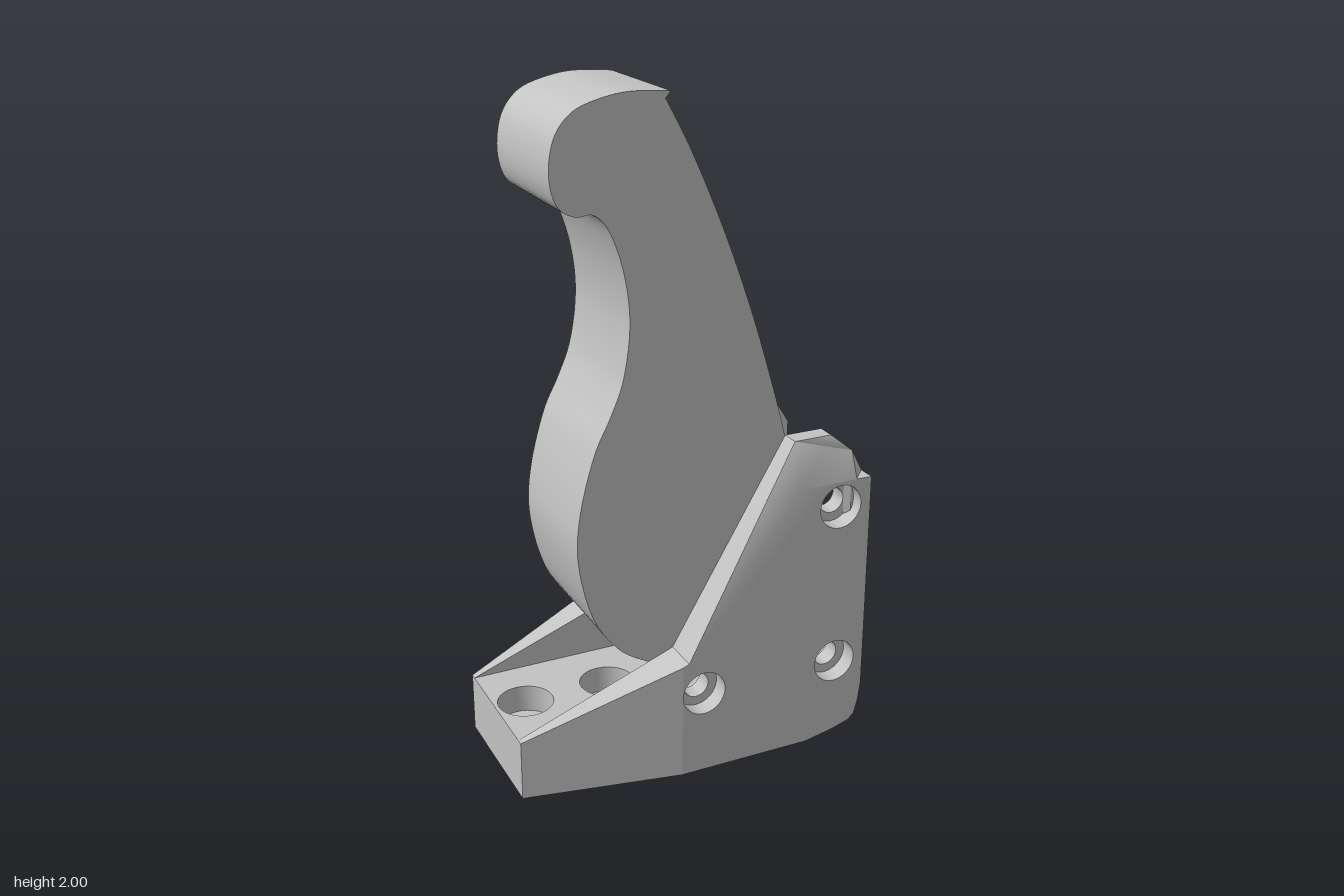
import * as THREE from 'three';
import { toCreasedNormals } from 'three/addons/utils/BufferGeometryUtils.js';
import { ConvexGeometry } from 'three/addons/geometries/ConvexGeometry.js';

const INNER = 0.19, MID = 0.246, OUTER = 0.301, FLOOR = 0.185, SPLIT = -0.07;
const V = (list) => list.map(([x, y]) => new THREE.Vector2(x, y));

// round or hexagonal hole path
function hole(x, y, r, sides = 32) {
  const pts = [];
  for (let i = 0; i < sides; i++) {
    const a = (i / sides) * Math.PI * 2;
    pts.push(new THREE.Vector2(x + r * Math.cos(a), y + r * Math.sin(a)));
  }
  return new THREE.Path(pts);
}

function extrude(points, holes, z0, z1) {
  const shape = new THREE.Shape(points);
  shape.holes.push(...holes);
  const g = new THREE.ExtrudeGeometry(shape, { depth: z1 - z0, bevelEnabled: false });
  return g.translate(0, 0, z0);
}

// mirror across z = 0, keeping faces outward
function mirrorZ(g) {
  const p = g.attributes.position;
  const a = new THREE.Vector3(), b = new THREE.Vector3();
  for (let i = 0; i < p.count; i += 3) {
    a.fromBufferAttribute(p, i + 1);
    b.fromBufferAttribute(p, i + 2);
    p.setXYZ(i + 1, b.x, b.y, b.z);
    p.setXYZ(i + 2, a.x, a.y, a.z);
  }
  return g.scale(1, 1, -1);
}

export function createModel() {
  const group = new THREE.Group();
  const grey = new THREE.MeshStandardMaterial({ color: 0xc3c3c3 });
  grey.name = 'light grey';
  const add = (name, geometry) => {
    const mesh = new THREE.Mesh(toCreasedNormals(geometry, 0.65), grey);
    mesh.name = name;
    group.add(mesh);
  };

  // lever: curved front, sweeping back
  const front = new THREE.SplineCurve(V([
    [-0.13, 0.34], [-0.22, 0.40], [-0.30, 0.52], [-0.343, 0.70], [-0.335, 0.85], [-0.29, 1.02],
    [-0.24, 1.125], [-0.2, 1.23], [-0.18, 1.38], [-0.195, 1.52], [-0.235, 1.64], [-0.28, 1.69],
    [-0.33, 1.69], [-0.375, 1.715], [-0.398, 1.77], [-0.4, 1.84], [-0.38, 1.91], [-0.33, 1.963],
    [-0.25, 1.99], [-0.17, 2.0], [-0.06, 1.993]])).getPoints(90);
  const back = new THREE.SplineCurve(V([
    [-0.075, 1.975], [0, 1.835], [0.1, 1.61], [0.19, 1.37], [0.26, 1.15], [0.31, 0.97],
    [0.36, 0.72], [0.397, 0.5], [0.415, 0.34]])).getPoints(40);
  const lever = [...front, ...back, ...V([[0.4, 0.325], [-0.11, 0.325]])].reverse();
  add('lever', extrude(lever, [], -INNER, INNER));

  // floor between the walls, rounded at the rear lower edge
  const heel = [[0.35, 0], [0.44, 0.018], [0.5, 0.036], [0.52, 0.055], [0.532, 0.1], [0.54, 0.16]];
  add('rearFloor', extrude(
    V([[SPLIT, 0], ...heel, [0.54, FLOOR], [SPLIT, FLOOR]]), [], -INNER, INNER));

  // front floor in two layers: bolt hole below, counterbore and blind pocket above
  const plate = V([[-0.54, -INNER], [SPLIT, -INNER], [SPLIT, INNER], [-0.54, INNER]]);
  add('frontFloorLower',
    extrude(plate, [hole(-0.445, 0, 0.052)], 0, 0.1).rotateX(-Math.PI / 2));
  add('frontFloorUpper',
    extrude(plate, [hole(-0.445, 0, 0.084), hole(-0.18, 0, 0.084)], 0.1, FLOOR).rotateX(-Math.PI / 2));

  // side walls: inner layer with bolt holes, chamfered outer layer with recesses
  const wall = V([[SPLIT, 0], ...heel, [0.54, 0.85], [0.49, 0.93], [0.43, 0.98],
    [0.31, 0.98], [-0.05, 0.37], [SPLIT, 0.362]]);
  const bolts = [[0, 0.26], [0.44, 0.26], [0.44, 0.772]];
  const wallLayer = (holes, inside, outside) => {
    const g = extrude(wall, holes, -outside, -inside);
    const p = g.attributes.position;
    for (let i = 0; i < p.count; i++) {
      const y = p.getY(i), z = -p.getZ(i);
      if (y < 0.9) continue;
      if (z > MID + 0.01) p.setY(i, 0.852);                     // top of the outer face
      else if (z > INNER + 0.01 && y < 0.95) p.setZ(i, -0.268); // rounded rear corner
    }
    return g;
  };
  for (const side of [1, -1]) {
    const label = side > 0 ? 'front' : 'back';
    const place = (g) => (side > 0 ? mirrorZ(g) : g);
    const through = bolts.map(([x, y]) => hole(x, y, 0.04));
    const recess = bolts.map(([x, y]) => hole(x, y, 0.068, side > 0 ? 32 : 6));
    add(label + 'WallInner', place(wallLayer(through, INNER, MID)));
    add(label + 'WallOuter', place(wallLayer(recess, MID, OUTER)));

    // tapering nose of the wall
    const corners = [];
    for (const [x, top, out] of [[-0.54, FLOOR, 0.21], [SPLIT, 0.362, OUTER]])
      for (const y of [0, top])
        for (const z of [INNER, out]) corners.push(new THREE.Vector3(x, y, z * side));
    add(label + 'WallNose', new ConvexGeometry(corners));
  }

  group.rotation.y = 0.016;
  return group;
}
